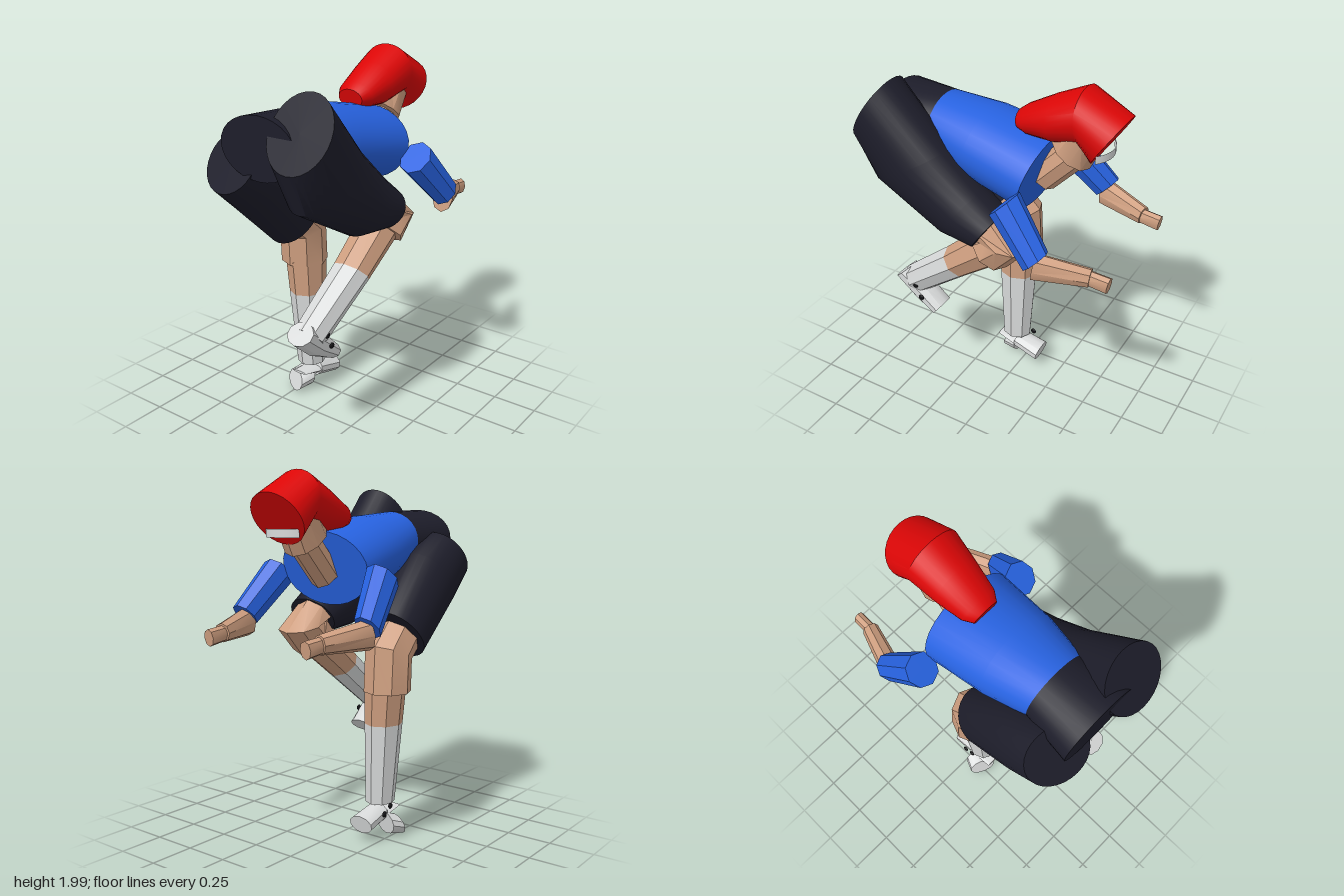
import * as THREE from 'three';
import { toCreasedNormals } from 'three/addons/utils/BufferGeometryUtils.js';

const mat = (name, color) => Object.assign(new THREE.MeshStandardMaterial({ color }), { name });

// Tube through elliptical rings [cx, cy, cz, ux, uy, rz, wx = 0]:
// centre, half-axis in the xy plane, half-axis along z (with optional x skew).
function loft(rings, sides) {
  const pos = [], idx = [], n = rings.length;
  const [a, b] = rings;
  const u = new THREE.Vector3(a[3], a[4], 0), w = new THREE.Vector3(a[6] || 0, 0, a[5]);
  const axis = new THREE.Vector3(b[0] - a[0], b[1] - a[1], b[2] - a[2]);
  const s = u.cross(w).dot(axis) < 0 ? -1 : 1;
  for (const [cx, cy, cz, ux, uy, rz, wx = 0] of rings) {
    for (let j = 0; j < sides; j++) {
      const t = (j / sides) * Math.PI * 2, c = Math.cos(t), d = s * Math.sin(t);
      pos.push(cx + ux * c + wx * d, cy + uy * c, cz + rz * d);
    }
  }
  for (let i = 0; i < n - 1; i++) {
    for (let j = 0; j < sides; j++) {
      const k = (j + 1) % sides, p = i * sides, q = p + sides;
      idx.push(p + j, p + k, q + j, p + k, q + k, q + j);
    }
  }
  // End caps
  const c0 = n * sides, last = (n - 1) * sides;
  pos.push(...rings[0].slice(0, 3), ...rings[n - 1].slice(0, 3));
  for (let j = 0; j < sides; j++) {
    const k = (j + 1) % sides;
    idx.push(c0, k, j, c0 + 1, last + j, last + k);
  }
  const g = new THREE.BufferGeometry();
  g.setAttribute('position', new THREE.Float32BufferAttribute(pos, 3));
  g.setIndex(idx);
  return toCreasedNormals(g, 0.6);
}

export function createModel() {
  const model = new THREE.Group();
  model.name = 'crouchingAthlete';
  const red = mat('helmetRed', 0xdb0606), blue = mat('shirtBlue', 0x2762e0);
  const black = mat('shortsBlack', 0x1d1d2a), skin = mat('skin', 0xcf9f80);
  const white = mat('sockWhite', 0xd8dada), dark = mat('studBlack', 0x111114);
  white.side = THREE.DoubleSide;

  const part = (name, material, rings, sides = 8) => {
    const m = new THREE.Mesh(loft(rings, sides), material);
    m.name = name;
    model.add(m);
  };

  // Torso and hips
  const waist = [-0.38, 1.63, 0, 0.005, 0.16, 0.195];
  part('torso', blue, [
    waist,
    [-0.14, 1.58, 0, 0.04, 0.19, 0.25],
    [0.21, 1.5, 0, 0.05, 0.195, 0.285],
  ], 28);
  part('hips', black, [[-0.66, 1.64, 0, 0, 0.16, 0.235], waist], 28);

  // Shorts legs
  part('leftShortsLeg', black, [
    [-0.64, 1.745, 0.24, 0.103, 0.175, 0.18],
    [-0.44, 1.475, 0.235, 0.21, 0.12, 0.17],
    [-0.14, 1.275, 0.235, 0.11, 0.14, 0.16],
    [0.025, 1.215, 0.24, 0.068, 0.1, 0.148],
  ], 28);
  part('rightShortsLeg', black, [
    [-0.61, 1.535, -0.215, 0.105, 0.14, 0.175, -0.03],
    [-0.42, 1.41, -0.22, 0.132, 0.155, 0.178],
    [-0.14, 1.13, -0.225, 0.13, 0.135, 0.155],
  ], 28);

  // Raised leg
  part('raisedKnee', skin, [
    [-0.02, 1.24, 0.22, 0.08, 0.1, 0.115],
    [0.13, 1.17, 0.238, 0.115, -0.03, 0.13],
    [0.03, 1.08, 0.235, 0.09, -0.08, 0.128],
  ]);
  const sockA = [-0.2, 0.915, 0.212, 0.07, -0.067, 0.105];
  part('raisedCalf', skin, [[0.07, 1.135, 0.225, 0.078, -0.085, 0.115], sockA]);
  part('raisedSock', white, [sockA, [-0.52, 0.655, 0.18, 0.06, -0.065, 0.085]]);
  part('raisedShoe', white, [
    [-0.59, 0.7, 0.18, 0.05, 0.045, 0.078],
    [-0.47, 0.6, 0.18, 0.045, 0.055, 0.075],
    [-0.355, 0.515, 0.18, 0.03, 0.036, 0.075],
  ], 10);

  // Standing leg
  part('standingKnee', skin, [
    [-0.16, 1.13, -0.225, 0.09, 0.095, 0.12],
    [-0.06, 1.04, -0.225, 0.125, 0.05, 0.13],
    [-0.05, 0.83, -0.225, 0.13, 0, 0.13],
  ]);
  const sockB = [-0.053, 0.65, -0.2, 0.113, 0, 0.1];
  part('standingCalf', skin, [[-0.053, 0.85, -0.21, 0.122, 0, 0.11], sockB]);
  part('standingSock', white, [sockB, [-0.05, 0.2, -0.182, 0.086, 0, 0.078]]);
  part('standingToe', white, [
    [-0.04, 0.145, -0.18, 0.012, 0.05, 0.065],
    [0.12, 0.107, -0.175, 0.012, 0.05, 0.075],
  ], 10);
  part('standingHeel', white, [
    [-0.118, 0.065, -0.255, 0.02, 0.058, 0.072, -0.03],
    [-0.04, 0.085, -0.225, 0.01, 0.065, 0.072, -0.02],
  ], 12);
  part('heelTab', white, [
    [-0.16, 0.155, -0.19, 0.001, 0.007, 0.05],
    [-0.03, 0.135, -0.18, 0.004, 0.025, 0.065],
  ], 8);

  // Shoe studs
  for (const [x, y, z] of [[-0.473, 0.67, 0.262], [-0.437, 0.597, 0.262], [-0.035, 0.19, -0.262], [0.02, 0.157, -0.262]]) {
    const stud = new THREE.Mesh(new THREE.SphereGeometry(0.017, 10, 8), dark);
    stud.name = 'shoeStud';
    stud.position.set(x, y, z);
    stud.scale.z = 0.5;
    model.add(stud);
  }

  // Arms, mirrored across z
  for (const s of [1, -1]) {
    const side = s > 0 ? 'left' : 'right';
    part(side + 'Sleeve', blue, [
      [0.175, 1.47, 0.35 * s, 0.07, 0.068, 0.088],
      [0.385, 1.24, 0.412 * s, 0.058, 0.058, 0.07],
    ]);
    part(side + 'Forearm', skin, [
      [0.375, 1.205, 0.41 * s, 0.012, 0.078, 0.055, 0.015 * s],
      [0.64, 1.18, 0.325 * s, 0.005, 0.05, 0.044, 0.01 * s],
    ]);
    part(side + 'Hand', skin, [
      [0.62, 1.178, 0.325 * s, 0.005, 0.042, 0.032],
      [0.737, 1.165, 0.32 * s, 0.006, 0.045, 0.033],
    ]);
  }

  // Neck and head
  part('neck', skin, [
    [0.2, 1.46, 0, -0.06, 0.06, 0.08],
    [0.39, 1.66, 0, -0.06, 0.06, 0.08],
  ]);
  part('head', skin, [
    [0.355, 1.645, 0, -0.1, 0.075, 0.115],
    [0.43, 1.77, 0, -0.09, 0.07, 0.115],
  ], 10);

  // Helmet
  part('helmet', red, [
    [0.075, 1.755, 0, -0.01, 0.05, 0.075],
    [0.125, 1.765, 0, -0.02, 0.072, 0.108],
    [0.27, 1.805, 0, -0.012, 0.118, 0.137],
    [0.425, 1.86, 0, -0.005, 0.14, 0.16],
    [0.567, 1.758, 0, 0.083, 0.127, 0.16],
  ], 28);

  // Face guard band
  const guard = new THREE.Mesh(
    new THREE.CylinderGeometry(0.16, 0.16, 0.042, 12, 1, true, Math.PI / 2 - 0.76, 1.52), white);
  guard.name = 'faceGuard';
  guard.position.set(0.415, 1.688, 0);
  model.add(guard);

  return model;
}
